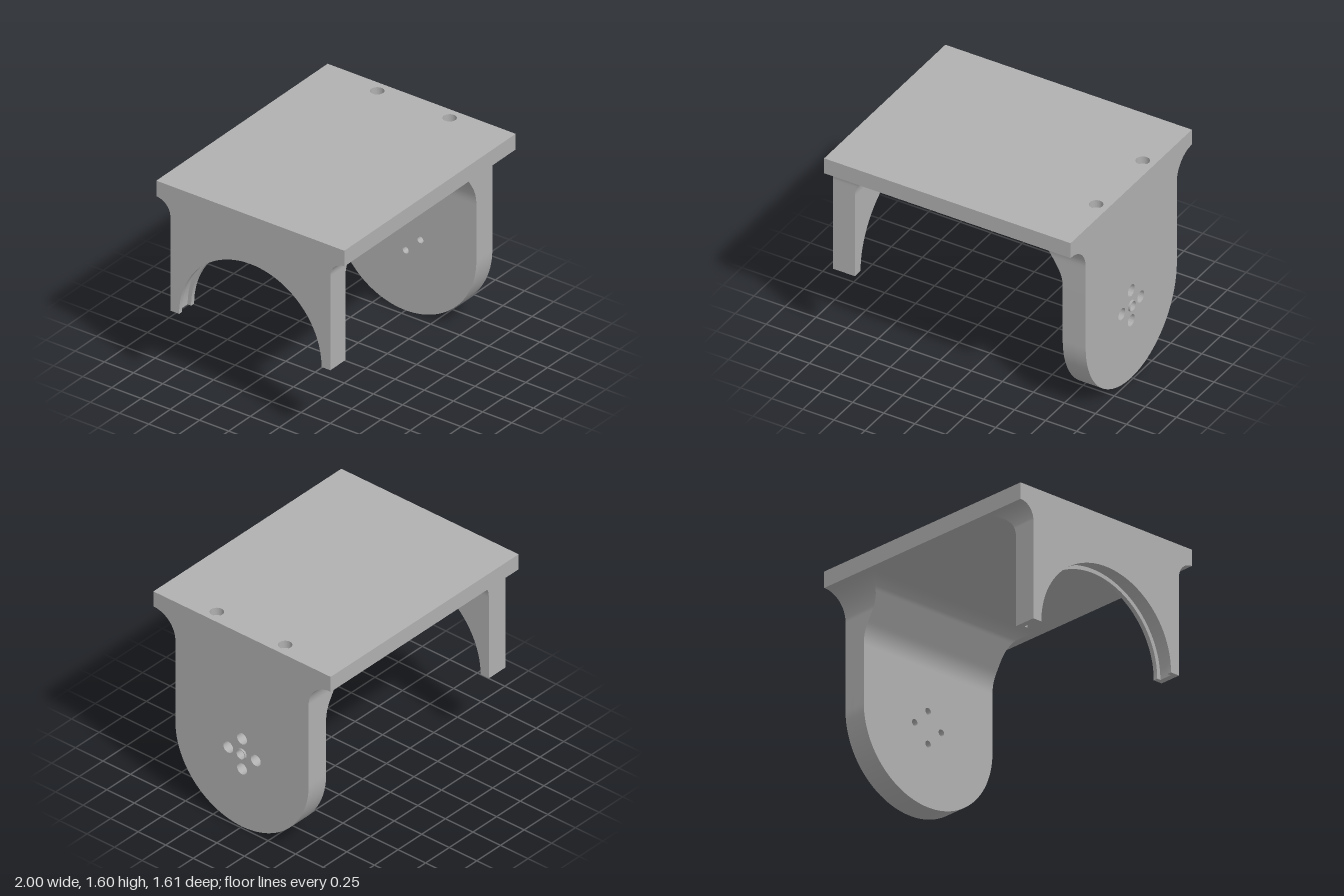
import * as THREE from 'three';
import { toCreasedNormals } from 'three/addons/utils/BufferGeometryUtils.js';

const TOP = 1.48;      // underside of the deck
const AXIS = 0.61;     // height of the pivot axis

export function createModel() {
  const model = new THREE.Group();
  model.name = 'hingeBracket';
  const grey = new THREE.MeshStandardMaterial({ color: 0xb0b0b0 });
  grey.name = 'grey';

  const add = (name, geometry) => {
    const mesh = new THREE.Mesh(geometry, grey);
    mesh.name = name;
    model.add(mesh);
  };
  const extrude = (shape, depth) => toCreasedNormals(
    new THREE.ExtrudeGeometry(shape, { depth, bevelEnabled: false, curveSegments: 40 }), 0.5);
  // Slab between two x positions, from an outline in the z-y plane
  const slabX = (shape, x0, x1) => extrude(shape, x1 - x0).rotateY(Math.PI / 2).translate(x0, 0, 0);
  const circle = (x, y, r) => new THREE.Path().absarc(x, y, r, 0, Math.PI * 2, true);
  // Quarter-round flare reaching r outwards at the deck
  const flare = (y, r) => {
    const t = Math.min(1, Math.max(0, (y - TOP + r) / r));
    return r * (1 - Math.sqrt(1 - t * t));
  };

  // Upper leg: rectangular cross-sections stacked from base up to the deck
  function loft(base, xRange, halfWidth) {
    const n = 48, pos = [], idx = [];
    const rings = [];
    for (let i = 0; i <= n; i++) {
      const y = base + (TOP - base) * Math.sin((i / n) * Math.PI / 2);
      const [a, b] = xRange(y), w = halfWidth(y);
      rings.push([[a, y, w], [b, y, w], [b, y, -w], [a, y, -w]]);
    }
    for (let s = 0; s < 4; s++) {
      const o = pos.length / 3;
      rings.forEach((r) => pos.push(...r[s], ...r[(s + 1) % 4]));
      for (let i = 0; i < n; i++) {
        const k = o + i * 2;
        idx.push(k, k + 1, k + 3, k, k + 3, k + 2);
      }
    }
    const o = pos.length / 3;           // closing face under the deck
    rings[n].forEach((p) => pos.push(...p));
    idx.push(o, o + 1, o + 2, o, o + 2, o + 3);
    const g = new THREE.BufferGeometry();
    g.setAttribute('position', new THREE.Float32BufferAttribute(pos, 3));
    g.setIndex(idx);
    g.computeVertexNormals();
    return g;
  }

  // Deck with two stepped screw holes
  [[TOP, 1.545, 0.033], [1.545, 1.605, 0.05]].forEach(([y0, y1, r], i) => {
    const s = new THREE.Shape([[-1, -0.805], [0.985, -0.805], [0.985, 0.805], [-1, 0.805]]
      .map(([x, y]) => new THREE.Vector2(x, y)));
    [-0.31, 0.31].forEach((z) => s.holes.push(circle(0.89, z, r)));
    add(i ? 'deckTop' : 'deckBase', extrude(s, y1 - y0).rotateX(-Math.PI / 2).translate(0, y0, 0));
  });

  // Round-ended leg: counterbored holes on the outside
  const R = 0.605, legBase = 1.06;
  function roundLeg(holeR, pocketR) {
    const s = new THREE.Shape();
    s.moveTo(R, legBase);
    s.lineTo(-R, legBase);
    s.lineTo(-R, AXIS);
    s.absarc(0, AXIS, R, Math.PI, Math.PI * 2, false);
    s.closePath();
    [[0, 1], [0, -1], [1, 0], [-1, 0]].forEach(([u, v]) =>
      s.holes.push(circle(u * 0.125, AXIS + v * 0.125, holeR)));
    if (pocketR) s.holes.push(circle(0, AXIS, pocketR));
    return s;
  }
  add('roundLegInner', slabX(roundLeg(0.026), 0.8, 0.9));
  add('roundLegOuter', slabX(roundLeg(0.045, 0.036), 0.9, 0.985));

  // Raised ring at the pivot
  const ring = new THREE.Shape().absarc(0, AXIS, 0.042, 0, Math.PI * 2, false);
  ring.holes.push(circle(0, AXIS, 0.036));
  add('pivotRing', slabX(ring, 0.985, 1));

  // Gusset of the round leg: straight brace with eased ends
  const brace = new THREE.Path();
  brace.moveTo(0.8, legBase);
  brace.quadraticCurveTo(0.8, 1.14, 0.757, 1.21);
  brace.lineTo(0.64, 1.4);
  brace.quadraticCurveTo(0.59, TOP, 0.5, TOP);
  const pts = brace.getPoints(24);
  const braceX = (y) => {
    let i = 1;
    while (i < pts.length - 1 && pts[i].y < y) i++;
    const a = pts[i - 1], b = pts[i];
    const t = b.y > a.y ? Math.min(1, (y - a.y) / (b.y - a.y)) : 1;
    return a.x + (b.x - a.x) * t;
  };
  add('roundLegGusset', loft(legBase, (y) => [braceX(y), 0.985], (y) => R + flare(y, 0.195)));

  // Arched leg: a groove runs between two lips inside the arch
  const W = 0.685, archBase = 1.28;
  function arch(r) {
    const s = new THREE.Shape();
    s.moveTo(r, AXIS);
    s.lineTo(W, AXIS);
    s.lineTo(W, archBase);
    s.lineTo(-W, archBase);
    s.lineTo(-W, AXIS);
    s.lineTo(-r, AXIS);
    s.absarc(0, AXIS, r, Math.PI, 0, true);
    return s;
  }
  add('archOuterLip', slabX(arch(0.61), -1, -0.965));
  add('archGroove', slabX(arch(0.64), -0.965, -0.86));
  add('archInnerLip', slabX(arch(0.61), -0.86, -0.825));
  add('archGusset', loft(archBase, (y) => [-1, -0.825 + flare(y, 0.2)], (y) => W + flare(y, 0.12)));

  return model;
}
